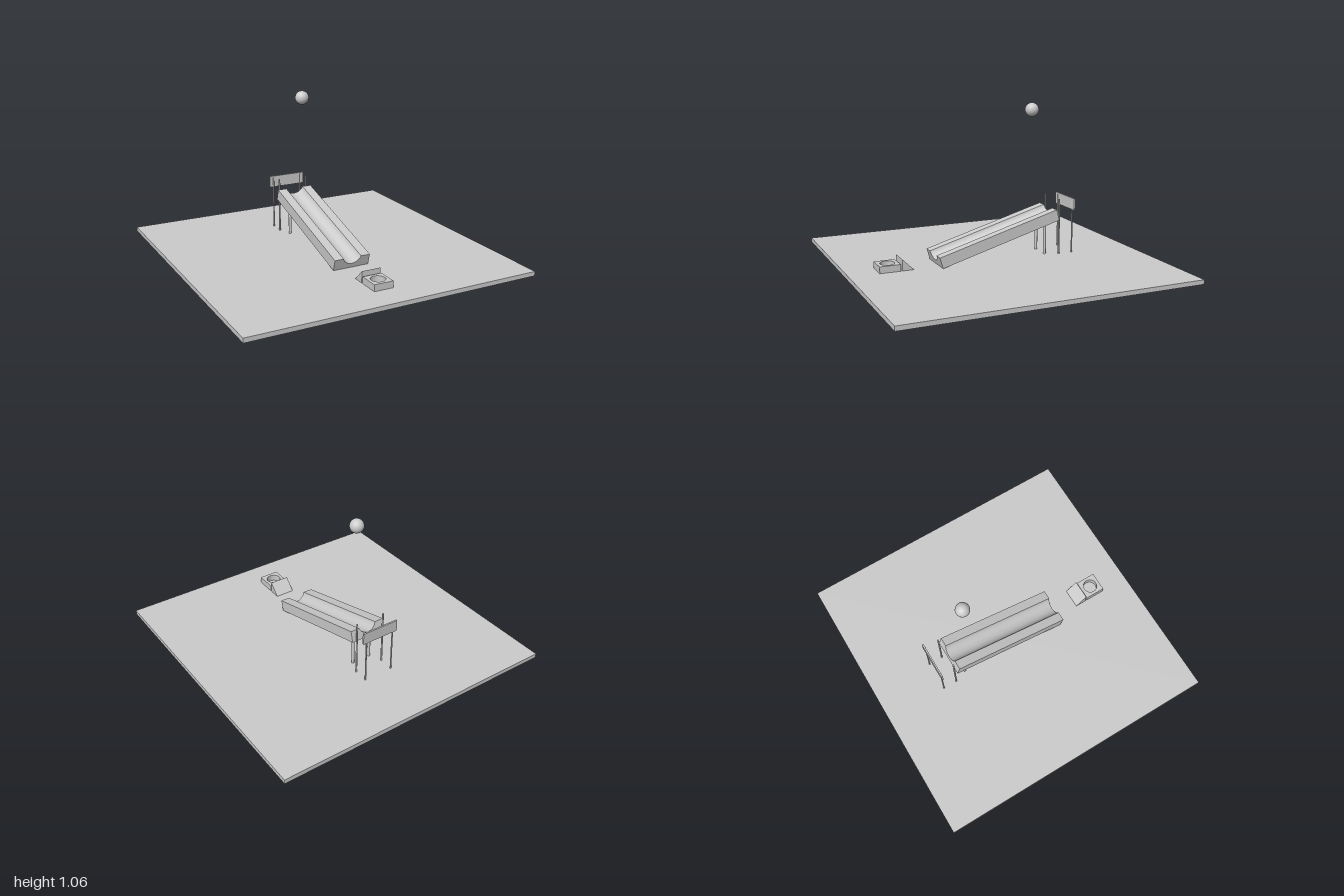
import * as THREE from 'three';
import { toCreasedNormals } from 'three/addons/utils/BufferGeometryUtils.js';

const grey = new THREE.MeshStandardMaterial({ color: 0xcccccc });
const greyOpen = new THREE.MeshStandardMaterial({ color: 0xcccccc, side: THREE.DoubleSide });
const GROUND = 0.03;

export function createModel() {
  const model = new THREE.Group();

  const add = (name, geometry, x, y, z, material = grey) => {
    const mesh = new THREE.Mesh(geometry, material);
    mesh.name = name;
    mesh.position.set(x, y, z);
    model.add(mesh);
    return mesh;
  };

  const extrude = (shape, depth) =>
    toCreasedNormals(
      new THREE.ExtrudeGeometry(shape, { depth, bevelEnabled: false, curveSegments: 24 }), 0.6);

  // ground: a shallow slab, open underneath
  const slab = new THREE.BoxGeometry(2, GROUND, 2);
  slab.setIndex(Array.from(slab.index.array).filter((_, i) => i < 18 || i >= 24));
  slab.clearGroups();
  add('ground', slab, 0, GROUND / 2, 0, greyOpen);

  // ramp: a thick plank with a round groove, tilted down to the front
  const halfWidth = 0.1275, thick = 0.077, length = 0.878;
  const rise = 0.019, radius = 0.066;
  const start = -Math.asin(rise / radius);
  const profile = new THREE.Shape();
  profile.moveTo(-halfWidth, 0);
  profile.lineTo(halfWidth, 0);
  profile.lineTo(halfWidth, thick);
  profile.absarc(0, thick + rise, radius, start, -Math.PI - start, true);
  profile.lineTo(-halfWidth, thick);
  profile.closePath();
  const ramp = add('ramp', extrude(profile, length).translate(0, 0, -length), 0, GROUND, 0.395);
  ramp.rotation.x = 0.277;

  // thin uprights in mirrored pairs: ramp legs, gate posts, sign posts
  const uprights = [
    ['rampLeg', 0.065, -0.37, 0.01, 0.255],
    ['gatePost', 0.103, -0.46, 0.006, 0.41],
    ['signPost', 0.103, -0.56, 0.005, 0.4],
  ];
  for (const [name, x, z, r, top] of uprights) {
    for (const side of [-1, 1]) {
      const post = new THREE.CylinderGeometry(r, r, top - GROUND, 16);
      add(name + (side > 0 ? 'Left' : 'Right'), post, side * x, (top + GROUND) / 2, z);
    }
  }

  // sign board across the rear posts
  add('signBoard', new THREE.BoxGeometry(0.264, 0.08, 0.011), 0, 0.37, -0.563);

  // kicker wedge, sloping up towards the front
  const wedgeWidth = 0.135;
  const wedge = new THREE.Shape([
    new THREE.Vector2(0, 0),
    new THREE.Vector2(0.078, 0),
    new THREE.Vector2(0.078, 0.077),
  ]);
  add('kickerWedge',
    extrude(wedge, wedgeWidth).rotateY(-Math.PI / 2).translate(wedgeWidth / 2, 0, 0),
    0, GROUND, 0.572);

  // target block with a round hole
  const block = new THREE.Shape([
    new THREE.Vector2(-0.0675, -0.07),
    new THREE.Vector2(0.0675, -0.07),
    new THREE.Vector2(0.0675, 0.07),
    new THREE.Vector2(-0.0675, 0.07),
  ]);
  block.holes.push(new THREE.Path().absarc(0, 0, 0.048, 0, Math.PI * 2, true));
  add('targetBlock', extrude(block, 0.045).rotateX(-Math.PI / 2), 0, GROUND, 0.731);

  // ball hanging above the ramp
  add('ball', new THREE.SphereGeometry(0.047, 32, 16), 0, 1.017, -0.298);

  return model;
}
